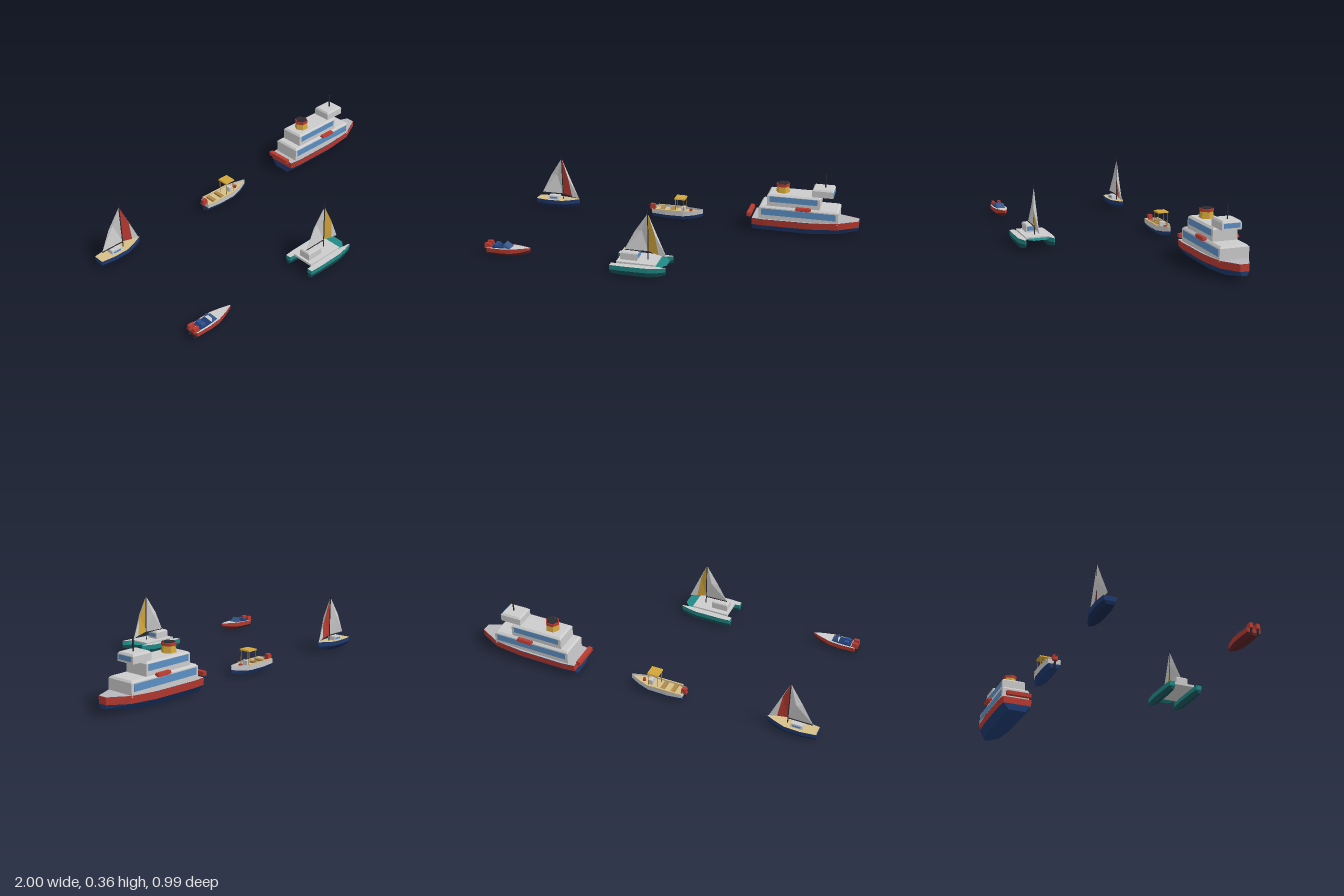
import * as THREE from 'three';

const RED = 0xb83a30, NAVY = 0x1f3a70, BLUE = 0x5b8fc4, WHITE = 0xe6e6e6, TAN = 0xd6bf88,
  GOLD = 0xd2a53a, TEAL = 0x1f8a86, DARK = 0x2a2a30, SAIL = 0xdedede;

const mat = (color) => new THREE.MeshStandardMaterial({ color, flatShading: true, side: THREE.DoubleSide });

function add(g, name, geo, color, x = 0, y = 0, z = 0) {
  const m = new THREE.Mesh(geo, mat(color));
  m.name = name;
  m.position.set(x, y, z);
  g.add(m);
  return m;
}

// Box given by its extents; the top can be drawn in by an inset
function block(g, name, color, x0, x1, y0, y1, z0, z1, inset = 0) {
  const geo = new THREE.BoxGeometry(x1 - x0, y1 - y0, z1 - z0);
  const p = geo.attributes.position;
  for (let i = 0; i < p.count; i++) if (p.getY(i) > 0) {
    p.setX(i, p.getX(i) - Math.sign(p.getX(i)) * inset);
    p.setZ(i, p.getZ(i) - Math.sign(p.getZ(i)) * inset);
  }
  geo.computeVertexNormals();
  return add(g, name, geo, color, (x0 + x1) / 2, (y0 + y1) / 2, (z0 + z1) / 2);
}

function pole(g, name, color, r, x, y0, y1, z = 0, sides = 6) {
  return add(g, name, new THREE.CylinderGeometry(r, r, y1 - y0, sides), color, x, (y0 + y1) / 2, z);
}

// Flat faces from polygons, each split into a fan
function faces(polys) {
  const v = [];
  for (const p of polys)
    for (let i = 1; i < p.length - 1; i++) v.push(...p[0], ...p[i], ...p[i + 1]);
  const geo = new THREE.BufferGeometry();
  geo.setAttribute('position', new THREE.Float32BufferAttribute(v, 3));
  geo.computeVertexNormals();
  return geo;
}

// Hull lofted through stations [x, half width, keel y, chine y, deck y]
function hull(g, st, colors, keel = 0.55, sink = 0, z = 0) {
  const line = (f) => st.map(([x, w, b, m, t]) => f(x, w, b, m, t));
  const top = (s) => line((x, w, b, m, t) => [x, t, s * w]);
  const chine = (s) => line((x, w, b, m) => [x, m, s * w * 0.94]);
  const bot = (s) => line((x, w, b) => [x, b, s * w * keel]);
  const deck = (s) => line((x, w, b, m, t) => [x, t - sink, s * w * 0.97]);
  const strip = (a, b) => a.slice(1).map((p, i) => [a[i], p, b[i + 1], b[i]]);
  const caps = (...ls) => [ls.map((l) => l[0]), ls.map((l) => l[l.length - 1]).reverse()];
  const [tR, cR, bR, bL, cL, tL] = [top(-1), chine(-1), bot(-1), bot(1), chine(1), top(1)];
  add(g, 'hullBottom', faces([...strip(cR, bR), ...strip(bR, bL), ...strip(bL, cL), ...caps(cR, bR, bL, cL)]), colors[0], 0, 0, z);
  add(g, 'hullSides', faces([...strip(tR, cR), ...strip(cL, tL), ...caps(tR, cR, cL, tL)]), colors[1], 0, 0, z);
  add(g, 'deck', faces(strip(deck(1), deck(-1))), colors[2], 0, 0, z);
}

// Mast, boom, a mainsail full to one side and a two-tone jib full to the other
function rig(g, x, base, foot, head, top, clewX, tackX, color) {
  pole(g, 'mast', DARK, 0.003, x, base, top);
  const boom = pole(g, 'boom', DARK, 0.003, 0, 0, x - clewX);
  boom.rotation.z = Math.PI / 2;
  boom.position.set((x + clewX) / 2, foot - 0.004, 0);
  const mid = foot + (head - foot) * 0.5;
  const H = [x, head, 0], T = [x, foot, 0], C = [clewX, foot, 0];
  const leech = [(x + clewX) / 2 - 0.008, mid, -0.006], belly = [x - (x - clewX) * 0.3, mid, -0.018];
  add(g, 'mainsail', faces([[belly, T, H], [belly, H, leech], [belly, leech, C], [belly, C, T]]), SAIL);
  const J = [tackX, foot - 0.025, 0], S = [x + (tackX - x) * 0.58, foot - 0.015, 0.004];
  const full = [x + (tackX - x) * 0.4, mid, 0.016];
  add(g, 'jibPanel', faces([[full, H, T], [full, T, S]]), color);
  add(g, 'jibLuff', faces([[full, S, J], [full, J, H]]), SAIL);
}

function sailboat() {
  const g = new THREE.Group();
  hull(g, [[-1, 0.034, 0.006, 0.026, 0.05], [-0.92, 0.045, 0, 0.024, 0.05], [-0.83, 0.042, 0, 0.024, 0.05],
    [-0.77, 0.022, 0.006, 0.028, 0.054], [-0.725, 0.003, 0.02, 0.034, 0.058]], [0x17284f, NAVY, TAN]);
  block(g, 'cabin', WHITE, -0.925, -0.855, 0.048, 0.072, -0.026, 0.026, 0.004);
  for (const s of [-1, 1]) block(g, 'cabinWindow', BLUE, -0.912, -0.868, 0.055, 0.065, s * 0.024 - 0.002, s * 0.024 + 0.002);
  rig(g, -0.835, 0.05, 0.085, 0.315, 0.328, -0.97, -0.73, RED);
  return g;
}

function fishingBoat() {
  const g = new THREE.Group();
  hull(g, [[-0.245, 0.036, 0.004, 0.028, 0.055], [-0.16, 0.045, 0, 0.026, 0.055], [-0.05, 0.043, 0, 0.026, 0.057],
    [0.01, 0.026, 0.008, 0.032, 0.062], [0.065, 0.003, 0.025, 0.042, 0.068]], [NAVY, WHITE, TAN], 0.55, 0.012);
  // Gunwales and benches
  for (const s of [-1, 1]) block(g, 'gunwale', TAN, -0.225, -0.04, 0.054, 0.06, s * 0.04 - 0.004, s * 0.04 + 0.004);
  for (const x of [-0.2, -0.14]) block(g, 'bench', 0xb08a4a, x, x + 0.022, 0.04, 0.055, -0.038, 0.038);
  // Canopy on four posts over a small console
  block(g, 'console', WHITE, -0.065, -0.045, 0.043, 0.075, -0.016, 0.016);
  for (const x of [-0.1, -0.047]) for (const s of [-1, 1]) pole(g, 'canopyPost', 0xa8823c, 0.002, x, 0.045, 0.13, s * 0.028);
  block(g, 'canopy', GOLD, -0.108, -0.04, 0.128, 0.136, -0.035, 0.035, 0.003);
  pole(g, 'bowBuoy', RED, 0.01, -0.01, 0.048, 0.062, 0, 8);
  // Outboard motor
  block(g, 'motor', RED, -0.265, -0.232, 0.045, 0.076, -0.014, 0.014, 0.003);
  block(g, 'motorLeg', DARK, -0.257, -0.247, 0.004, 0.046, -0.004, 0.004);
  block(g, 'tiller', DARK, -0.28, -0.262, 0.064, 0.068, -0.002, 0.002);
  return g;
}

function ferry() {
  const g = new THREE.Group();
  hull(g, [[0.38, 0.088, 0, 0.04, 0.08], [0.45, 0.096, 0, 0.04, 0.08], [0.72, 0.096, 0, 0.042, 0.083],
    [0.885, 0.082, 0.014, 0.049, 0.09], [1, 0.026, 0.035, 0.057, 0.096]], [NAVY, RED, 0xb8b8bc], 0.58);
  block(g, 'sternRamp', RED, 0.347, 0.371, 0.083, 0.106, -0.075, 0.075);
  // Two passenger decks with chamfered roofs and window bands
  const decks = [[0.42, 0.885, 0.08, 0.16, 0.082, 0.106, 0.144], [0.465, 0.775, 0.16, 0.232, 0.07, 0.186, 0.22]];
  for (const [x0, x1, y0, y1, w, a, b] of decks) {
    block(g, 'passengerDeck', WHITE, x0, x1, y0, y1 - 0.01, -w, w);
    block(g, 'deckRoof', WHITE, x0, x1, y1 - 0.01, y1, -w, w, 0.01);
    for (const s of [-1, 1]) block(g, 'windowBand', BLUE, x0 + 0.015, x1 - 0.015, a, b, s * w - 0.002, s * w + 0.002);
  }
  // Bridge
  block(g, 'bridge', WHITE, 0.725, 0.848, 0.232, 0.27, -0.055, 0.055);
  block(g, 'bridgeRoof', WHITE, 0.725, 0.848, 0.27, 0.28, -0.055, 0.055, 0.008);
  block(g, 'bridgeWindow', BLUE, 0.846, 0.851, 0.243, 0.268, -0.045, 0.045);
  pole(g, 'mast', DARK, 0.004, 0.795, 0.278, 0.358);
  // Funnel
  add(g, 'funnel', new THREE.CylinderGeometry(0.034, 0.042, 0.04, 6), GOLD, 0.548, 0.25, 0).rotation.y = Math.PI / 6;
  add(g, 'funnelBand', new THREE.CylinderGeometry(0.04, 0.04, 0.016, 6), RED, 0.548, 0.276, 0).rotation.y = Math.PI / 6;
  add(g, 'funnelTop', new THREE.CylinderGeometry(0.034, 0.034, 0.006, 6), DARK, 0.548, 0.284, 0).rotation.y = Math.PI / 6;
  // Lifeboats slung on both sides
  for (const s of [-1, 1]) {
    const z = s * 0.093;
    block(g, 'lifeboat', RED, 0.635, 0.728, 0.16, 0.173, z - 0.013, z + 0.013, 0.004);
    block(g, 'lifeboatKeel', RED, 0.642, 0.721, 0.153, 0.16, z - 0.009, z + 0.009);
  }
  return g;
}

function speedboat() {
  const g = new THREE.Group();
  hull(g, [[-0.985, 0.038, 0.002, 0.018, 0.042], [-0.9, 0.042, 0, 0.018, 0.044], [-0.84, 0.038, 0.002, 0.02, 0.047],
    [-0.785, 0.022, 0.01, 0.028, 0.05], [-0.735, 0.002, 0.028, 0.04, 0.053]], [0x5a2226, RED, WHITE], 0.5);
  // Cockpit, seats and windscreen
  block(g, 'cockpit', NAVY, -0.957, -0.885, 0.042, 0.05, -0.029, 0.029);
  for (const s of [-1, 1]) block(g, 'seat', 0x2c4f8e, -0.945, -0.92, 0.049, 0.062, s * 0.014 - 0.01, s * 0.014 + 0.01);
  const q = [[-0.845, 0.046], [-0.88, 0.072]];
  add(g, 'windscreen', faces([
    [[q[0][0], q[0][1], 0.026], [q[0][0], q[0][1], -0.026], [q[1][0], q[1][1], -0.024], [q[1][0], q[1][1], 0.024]],
    ...[1, -1].map((s) => [[-0.885, 0.046, s * 0.031], [q[0][0], q[0][1], s * 0.026], [q[1][0], q[1][1], s * 0.024]]),
  ]), 0x35588c);
  // Twin outboards
  for (const s of [-1, 1]) {
    block(g, 'motor', RED, -1, -0.962, 0.038, 0.066, s * 0.019 - 0.011, s * 0.019 + 0.011, 0.003);
    block(g, 'motorLeg', DARK, -0.996, -0.986, 0.004, 0.039, s * 0.019 - 0.004, s * 0.019 + 0.004);
  }
  return g;
}

function catamaran() {
  const g = new THREE.Group();
  for (const s of [-1, 1])
    hull(g, [[-0.243, 0.016, 0.004, 0.026, 0.052], [-0.18, 0.02, 0, 0.026, 0.053], [-0.03, 0.02, 0, 0.028, 0.055],
      [0.02, 0.013, 0.008, 0.032, 0.058], [0.065, 0.003, 0.022, 0.038, 0.061]], [0x174f55, TEAL, 0xd0d0d4], 0.5, 0, s * 0.082);
  block(g, 'bridgeDeck', WHITE, -0.215, 0.005, 0.05, 0.063, -0.065, 0.065);
  // Trampoline between the bows
  add(g, 'trampoline', faces([[[0.004, 0.055, 0.066], [0.03, 0.055, 0.068], [0.06, 0.055, 0.035],
    [0.06, 0.055, -0.035], [0.03, 0.055, -0.068], [0.004, 0.055, -0.066]]]), TEAL);
  // Cabin with windows
  block(g, 'cabin', WHITE, -0.2, -0.105, 0.063, 0.1, -0.034, 0.034);
  block(g, 'cabinRoof', WHITE, -0.2, -0.105, 0.1, 0.107, -0.034, 0.034, 0.005);
  block(g, 'cabinWindow', BLUE, -0.107, -0.103, 0.073, 0.096, -0.03, 0.03);
  rig(g, -0.053, 0.06, 0.112, 0.33, 0.352, -0.185, 0.05, GOLD);
  return g;
}

export function createModel() {
  const root = new THREE.Group();
  const fleet = [['sailboat', sailboat, -0.391], ['fishingBoat', fishingBoat, -0.391], ['ferry', ferry, -0.39],
    ['speedboat', speedboat, 0.386], ['catamaran', catamaran, 0.388]];
  for (const [name, make, z] of fleet) {
    const boat = make();
    boat.name = name;
    boat.position.z = z;
    root.add(boat);
  }
  return root;
}
